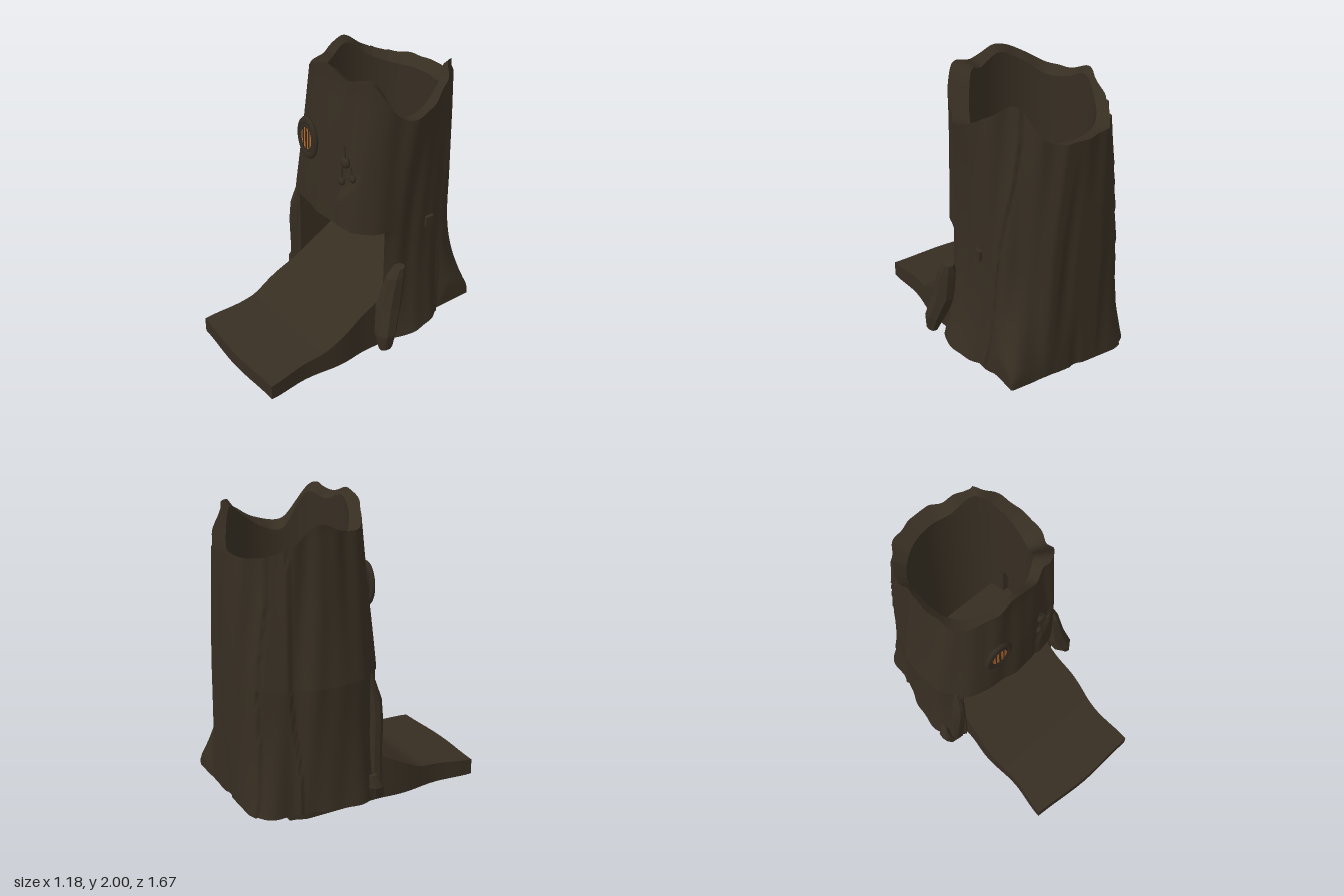
import * as THREE from 'three';

const MID_Z = -0.36, CUT = 0.93, FLOOR = 0.11, HOLE = 0.376, DEG = Math.PI / 180;

// Radii every 22.5 degrees, from the front (+z) turning towards +x
const BASE = [.46, .48, .54, .56, .53, .475, .66, .51, .475, .51, .61, .535, .55, .62, .58, .50];
const WAIST = [.48, .49, .51, .455, .42, .43, .445, .485, .475, .51, .52, .50, .53, .555, .565, .50];
const CROWN = [.435, .45, .48, .49, .475, .435, .415, .46, .475, .48, .455, .43, .425, .44, .47, .455];
const RIM = [2.0, 1.95, 1.97, 1.74, 1.76, 1.86, 1.94, 1.75, 1.73, 1.73, 1.74, 1.80, 1.91, 1.85, 1.84, 1.93];

// Overlapping bark sheets: [edge angle, lean in degrees per unit of height, thickness]
const SHEETS = [[108, 16, 0.018], [221, 3, 0.016], [250, -5, 0.016]];

// Smooth closed interpolation of a ring of values
function ring(values, a) {
  const n = values.length, f = (((a / (2 * Math.PI)) % 1) + 1) % 1 * n;
  const i = Math.floor(f), t = f - i, v = (k) => values[(i + k + n) % n];
  const [p, q, r, s] = [v(-1), v(0), v(1), v(2)];
  return q + 0.5 * t * (r - p + t * (2 * p - 5 * q + 4 * r - s + t * (3 * (q - r) + s - p)));
}

const point = (a, r, y) => [Math.sin(a) * r, y, MID_Z + Math.cos(a) * r];

// Bark surface: flared foot, leaning furrows and sheets, flat back and square back corner
function barkRadius(a, y) {
  const waist = ring(WAIST, a), sin = Math.sin(a), cos = Math.cos(a);
  let r = y < CUT
    ? waist + (ring(BASE, a) - waist) * ((CUT - y) / (CUT - FLOOR)) ** 2.2
    : THREE.MathUtils.lerp(waist, ring(CROWN, a), Math.min((y - CUT) / 0.82, 1.15) ** (1.35 + 0.45 * sin));
  const rough = 0.004 + 0.004 * (1 - cos) / 2;
  r += rough * (Math.sin(11 * a + 2 * Math.sin(2.2 * y)) + 0.7 * Math.sin(19 * a - 3 * y));
  for (const [edge, lean, thick] of SHEETS) {
    const d = (edge + lean * y + 2 * Math.sin(5 * y)) * DEG - a;
    if (d > 0) r += thick * Math.exp(-d / 0.2);
  }
  if (y >= CUT) {
    const edge = (17 + 18 * THREE.MathUtils.smoothstep(y, 1.1, 1.35)) * DEG;
    const d = Math.atan2(sin, cos);
    r += 0.02 * THREE.MathUtils.smoothstep(d, edge, edge + 0.04) * (1 - THREE.MathUtils.smoothstep(d, 0.8, 1.2));
  }
  if (cos < 0) r = Math.min(r, 0.475 / -cos);
  if (cos < -0.4 && sin > 0) r = Math.min(r, 0.435 / sin);
  return Math.max(r, HOLE + 0.015);
}

// Surface from a function of (column 0..1, row 0..1)
function patch(fn, cols, rows, closed = false) {
  const pos = [], idx = [], w = closed ? cols : cols + 1;
  for (let j = 0; j <= rows; j++) for (let i = 0; i < w; i++) pos.push(...fn(i / cols, j / rows));
  for (let j = 0; j < rows; j++) for (let i = 0; i < cols; i++) {
    const a = j * w + i, b = j * w + (i + 1) % w;
    idx.push(a, b, b + w, a, b + w, a + w);
  }
  const g = new THREE.BufferGeometry();
  g.setAttribute('position', new THREE.Float32BufferAttribute(pos, 3));
  g.setIndex(idx);
  g.computeVertexNormals();
  return g;
}

// Thick curved wall between two angles; its top slopes inwards by the given drop
function wall(name, mat, a0, a1, low, high, drop, inner, rows) {
  const g = new THREE.Group();
  g.name = name;
  const closed = a1 - a0 > 6.28, cols = 200;
  const A = (u) => a0 + (a1 - a0) * u;
  const Y = (a, v, sink = 0) => low + (high(a) - sink - low) * v;
  const out = (a, v) => point(a, barkRadius(a, Y(a, v)), Y(a, v));
  const ins = (a, v) => {
    const y = Y(a, v, drop);
    return point(a, Math.min(inner(a), barkRadius(a, y) - 0.003), y);
  };
  const mix = (p, q, t) => p.map((v, k) => v + (q[k] - v) * t);
  const add = (part, fn, c, r, loop) => {
    const m = new THREE.Mesh(patch(fn, c, r, loop), mat);
    m.name = part;
    g.add(m);
  };
  add('bark', (u, v) => out(A(u), v), cols, rows, closed);
  add('innerWall', (u, v) => ins(A(u), 1 - v), cols, rows, closed);
  add('topEdge', (u, v) => mix(out(A(u), 1), ins(A(u), 1), v), cols, 1, closed);
  add('bottomEdge', (u, v) => mix(ins(A(u), 0), out(A(u), 0), v), cols, 1, closed);
  if (!closed) {
    add('leftJamb', (u, v) => mix(ins(a0, v), out(a0, v), u), 1, rows);
    add('rightJamb', (u, v) => mix(out(a1, v), ins(a1, v), u), 1, rows);
  }
  return g;
}

// Faceted root from stations [y, x, z, rx, rz]
function root(name, mat, stations) {
  const n = 8, last = stations.length - 1;
  const rows = [stations[0].map((v, k) => (k > 2 ? 0 : v)), ...stations,
    stations[last].map((v, k) => (k > 2 ? 0 : v))];
  const g = patch((u, v) => {
    const [y, x, z, rx, rz] = rows[Math.round(v * (rows.length - 1))];
    const a = u * 2 * Math.PI + 0.3;
    return [x + Math.sin(a) * rx, y, z + Math.cos(a) * rz];
  }, n, rows.length - 1, true).toNonIndexed();
  g.computeVertexNormals();
  const m = new THREE.Mesh(g, mat);
  m.name = name;
  return m;
}

export function createModel() {
  const model = new THREE.Group();
  model.name = 'hollowStump';
  const material = (name, color) => {
    const m = new THREE.MeshStandardMaterial({ color });
    m.name = name;
    return m;
  };
  const bark = material('bark brown', 0x372e22);
  const frame = material('frame dark brown', 0x322b21);
  const glow = material('window orange', 0xb8682a);
  const add = (name, geo, mat, x, y, z, parent = model) => {
    const m = new THREE.Mesh(geo, mat);
    m.name = name;
    m.position.set(x, y, z);
    parent.add(m);
    return m;
  };

  // Trunk: full ring above the doorway, open ring below it
  model.add(wall('upperTrunk', bark, 0, 2 * Math.PI, CUT, (a) => ring(RIM, a), 0.04, () => HOLE, 26));
  model.add(wall('lowerTrunk', bark, 56 * DEG, 313 * DEG, FLOOR, () => CUT, 0,
    (a) => (Math.cos(a) > -0.28 ? Math.max(HOLE, 0.4 / Math.abs(Math.sin(a))) : HOLE), 20));

  // Ramp: a box bent to the slope, with wavy sides and nose
  const ramp = new THREE.BoxGeometry(2, 1, 1, 10, 1, 40);
  const p = ramp.attributes.position;
  const slope = [[-0.56, 0.66], [0.04, 0.338], [0.37, 0.165], [0.42, 0.147], [0.83, 0.105]];
  for (let i = 0; i < p.count; i++) {
    const s = p.getX(i), t = p.getZ(i) + 0.5;
    const z = -0.56 + t * (1.38 + 0.012 * Math.cos(s * 3));
    let k = 0;
    while (k < 3 && z > slope[k + 1][0]) k++;
    const [z0, y0] = slope[k], [z1, y1] = slope[k + 1];
    const half = 0.402 + 0.012 * Math.cos((z - 0.25) * 2 * Math.PI / 0.55) * THREE.MathUtils.smoothstep(z, -0.1, 0.2)
      - 0.035 * THREE.MathUtils.smoothstep(-z, 0.44, 0.56);
    p.setXYZ(i, s * half, p.getY(i) > 0 ? y0 + (y1 - y0) * (z - z0) / (z1 - z0) : 0, z);
  }
  ramp.computeVertexNormals();
  add('ramp', ramp, bark, 0, 0, 0);

  // Roots beside the doorway
  model.add(root('leftRoot', bark, [
    [0.11, 0.545, -0.01, 0.035, 0.05], [0.22, 0.52, -0.025, 0.072, 0.075], [0.4, 0.477, -0.08, 0.082, 0.088],
    [0.62, 0.482, -0.125, 0.055, 0.068], [0.68, 0.485, -0.15, 0.035, 0.04]]));
  model.add(root('rightRoot', bark, [
    [0.12, -0.525, -0.02, 0.05, 0.05], [0.2, -0.555, -0.04, 0.04, 0.05], [0.28, -0.55, -0.06, 0.015, 0.03]]));
  model.add(root('rightJambRoot', bark, [
    [0.12, -0.48, -0.01, 0.06, 0.045], [0.35, -0.465, -0.005, 0.05, 0.05], [0.6, -0.455, 0.01, 0.045, 0.05],
    [0.75, -0.445, 0.01, 0.035, 0.045], [0.92, -0.43, -0.02, 0.02, 0.02]]));
  add('branchStub', new THREE.BoxGeometry(0.06, 0.07, 0.06), bark, 0.41, 0.895, -0.435);

  // Round window with a glowing pane and bars
  const win = new THREE.Group();
  win.name = 'window';
  win.position.set(-0.165, 1.42, 0.095);
  model.add(win);
  const oval = (name, r, tube, z) =>
    add(name, new THREE.TorusGeometry(r, tube, 10, 40), frame, 0, 0, z, win).scale.set(1, 1.42, 0.8);
  oval('outerFrame', 0.084, 0.021, 0.005);
  oval('innerFrame', 0.062, 0.012, 0.01);
  const disc = (name, r, depth, mat, z) => {
    const g = new THREE.CylinderGeometry(r, r, depth, 36).rotateX(Math.PI / 2).scale(1, 1.75, 1);
    add(name, g, mat, 0, 0, z, win);
  };
  disc('windowBack', 0.062, 0.04, frame, -0.008);
  disc('pane', 0.055, 0.006, glow, 0.014);
  for (const [x, w] of [[-0.03, 0.008], [0, 0.013], [0.03, 0.008]])
    add('windowBar', new THREE.BoxGeometry(w, 0.165, 0.008), frame, x, 0, 0.017, win);

  // Hanging lanterns on cords
  for (const [x, y, r, top, lean] of [
    [0.2, 1.405, 0.036, 1.52, -0.01], [0.178, 1.268, 0.029, 1.39, 0.01], [0.264, 1.318, 0.028, 1.4, -0.02]]) {
    const a = Math.atan2(x, 0.44), z = point(a, barkRadius(a, y), y)[2] + 0.008;
    add('lantern', new THREE.SphereGeometry(r, 16, 12), frame, x, y, z).scale.z = 0.7;
    const cord = new THREE.LineCurve3(new THREE.Vector3(x, y, z), new THREE.Vector3(x + lean, top, z));
    add('lanternCord', new THREE.TubeGeometry(cord, 1, 0.006, 6), frame, 0, 0, 0);
  }
  return model;
}
